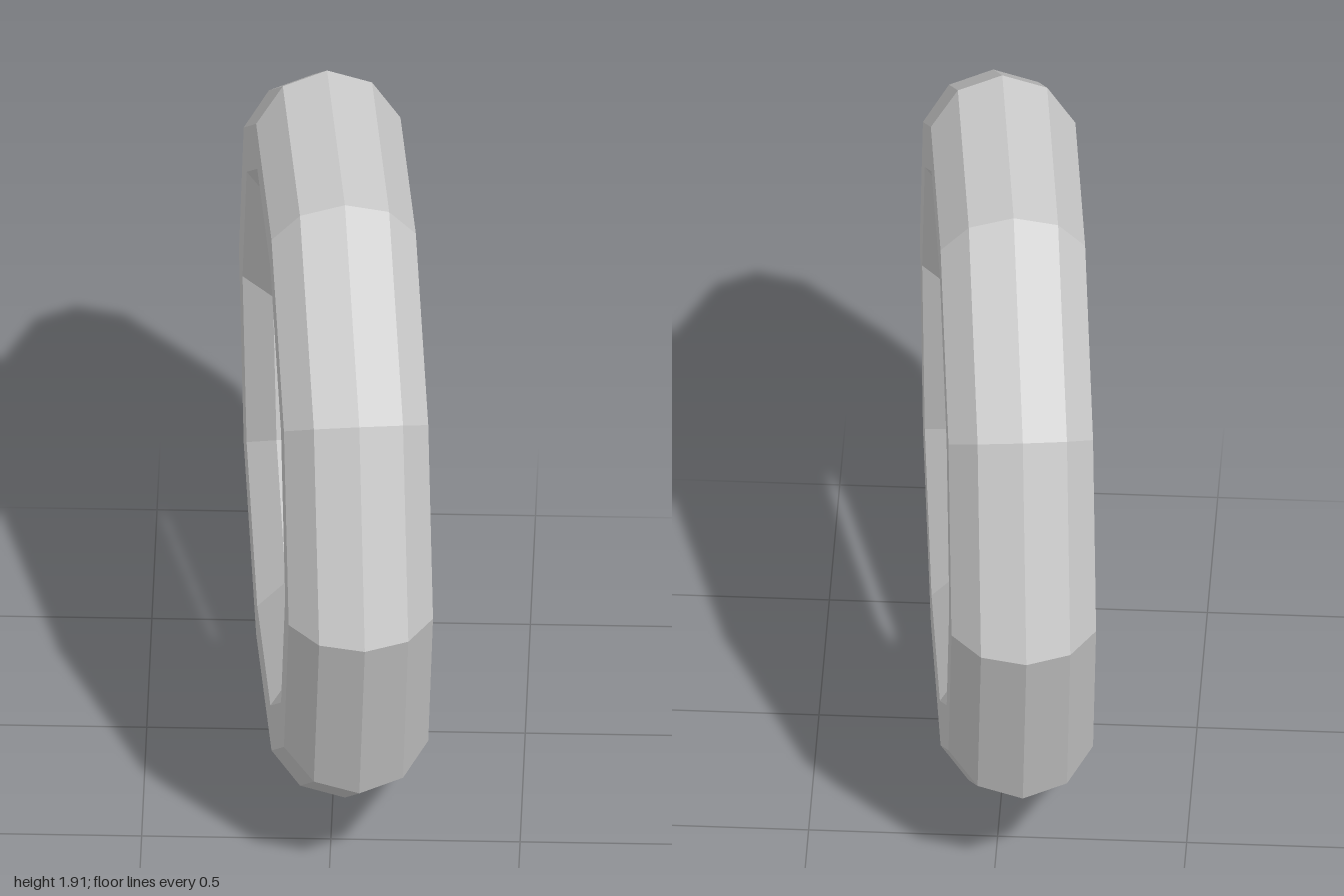
import * as THREE from 'three';

export function createModel() {
  const group = new THREE.Group();
  const R = 0.804, r = 0.201, sides = 10;
  const tilt = THREE.MathUtils.degToRad(5.9);

  // Ten-sided ring with a ten-sided tube, standing on one flat edge
  const geometry = new THREE.TorusGeometry(R, r, sides, sides);
  geometry.rotateY(-Math.PI / 2 + tilt);
  geometry.translate(0, (R + r) * Math.sin(Math.PI * 0.4), 0);

  const material = new THREE.MeshStandardMaterial({ color: 0xcccccc, flatShading: true });
  const ring = new THREE.Mesh(geometry, material);
  ring.name = 'ring';
  group.add(ring);
  return group;
}
